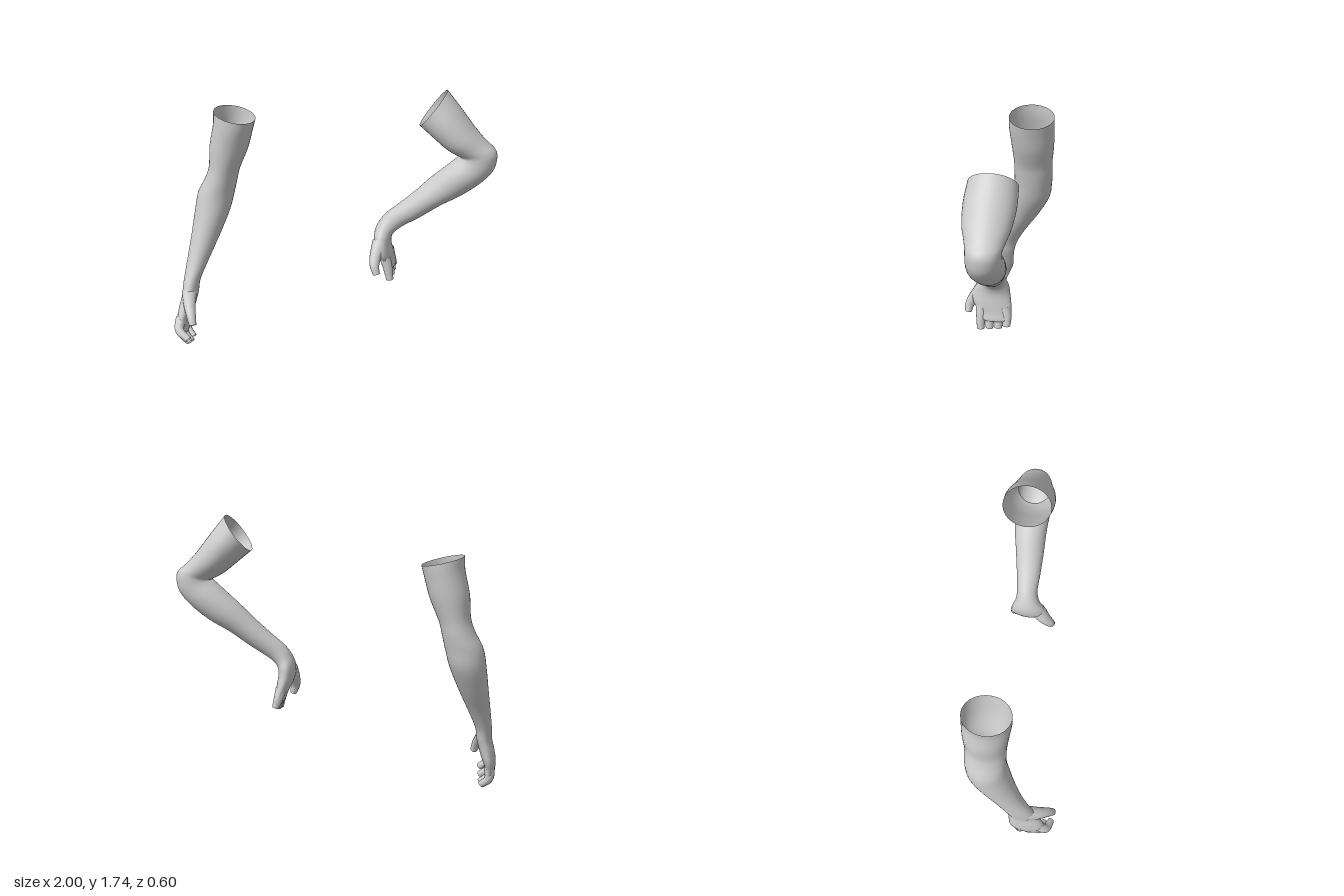
import * as THREE from 'three';

const skin = new THREE.MeshStandardMaterial({ color: 0xcccccc, side: THREE.DoubleSide });
const V = (x, y, z = 0) => new THREE.Vector3(x, y, z);

// Smooth limb through cross-sections [innerX, innerY, outerX, outerY, centreZ, halfDepth]
function limb(name, sections, rings = 90, sides = 36) {
  const curve = (f) => new THREE.CatmullRomCurve3(sections.map(f), false, 'catmullrom', 0.5);
  const inner = curve((s) => V(s[0], s[1]));
  const outer = curve((s) => V(s[2], s[3]));
  const depth = curve((s) => V(s[4], s[5]));
  const pos = [], index = [];
  for (let r = 0; r <= rings; r++) {
    const a = inner.getPoint(r / rings), b = outer.getPoint(r / rings), d = depth.getPoint(r / rings);
    for (let k = 0; k < sides; k++) {
      const t = (k / sides) * Math.PI * 2, c = 0.5 + 0.5 * Math.cos(t);
      pos.push(a.x + (b.x - a.x) * c, a.y + (b.y - a.y) * c, d.x + d.y * Math.sin(t));
      if (r === rings) continue;
      const n = (k + 1) % sides, p = r * sides;
      index.push(p + k, p + n, p + sides + k, p + n, p + sides + n, p + sides + k);
    }
  }
  const g = new THREE.BufferGeometry();
  g.setAttribute('position', new THREE.Float32BufferAttribute(pos, 3));
  g.setIndex(index);
  g.computeVertexNormals();
  const mesh = new THREE.Mesh(g, skin);
  mesh.name = name;
  return mesh;
}

// Tapered, open-ended digit along a short curve
function digit(name, points, r0, r1) {
  const path = new THREE.CatmullRomCurve3(points.map((p) => V(...p)));
  const seg = 14, sides = 14;
  const g = new THREE.TubeGeometry(path, seg, 1, sides);
  const pos = g.attributes.position, v = V(0, 0);
  for (let i = 0; i < pos.count; i++) {
    const t = Math.floor(i / (sides + 1)) / seg, c = path.getPointAt(t);
    v.fromBufferAttribute(pos, i).sub(c).multiplyScalar(r0 + (r1 - r0) * t).add(c);
    pos.setXYZ(i, v.x, v.y, v.z);
  }
  const mesh = new THREE.Mesh(g, skin);
  mesh.name = name;
  return mesh;
}

export function createModel() {
  const model = new THREE.Group();
  const names = ['IndexFinger', 'MiddleFinger', 'RingFinger', 'LittleFinger'];

  // Bent left arm: upper arm, elbow, forearm, wrist, palm
  const left = new THREE.Group();
  left.name = 'leftArm';
  left.add(limb('leftArmAndPalm', [
    [0.52, 1.54, 0.68, 1.755, -0.10, 0.145],
    [0.60, 1.475, 0.77, 1.645, -0.095, 0.152],
    [0.68, 1.41, 0.86, 1.53, -0.09, 0.14],
    [0.735, 1.375, 0.93, 1.455, -0.09, 0.118],
    [0.765, 1.362, 0.985, 1.405, -0.09, 0.105],
    [0.772, 1.355, 0.997, 1.35, -0.09, 0.103],
    [0.755, 1.34, 0.975, 1.27, -0.09, 0.105],
    [0.70, 1.29, 0.90, 1.185, -0.09, 0.11],
    [0.60, 1.20, 0.79, 1.10, -0.09, 0.10],
    [0.50, 1.10, 0.67, 1.03, -0.08, 0.088],
    [0.40, 1.01, 0.55, 0.945, -0.072, 0.075],
    [0.33, 0.95, 0.44, 0.875, -0.068, 0.065],
    [0.285, 0.89, 0.385, 0.83, -0.06, 0.075],
    [0.262, 0.83, 0.367, 0.79, -0.052, 0.10],
    [0.262, 0.76, 0.367, 0.75, -0.045, 0.115],
    [0.28, 0.70, 0.375, 0.70, -0.05, 0.118],
    [0.305, 0.65, 0.383, 0.645, -0.067, 0.104],
    [0.325, 0.60, 0.392, 0.60, -0.07, 0.095],
    [0.355, 0.585, 0.365, 0.585, -0.07, 0.02],
  ]));
  const leftTips = [[0.015, 0.53], [-0.04, 0.538], [-0.095, 0.545], [-0.145, 0.56]];
  leftTips.forEach(([z, y], i) => left.add(digit('left' + names[i],
    [[0.338, 0.68, z * 0.9], [0.357, 0.61, z], [0.372, y, z]], 0.036, 0.023)));
  left.add(digit('leftThumb',
    [[0.305, 0.78, 0.01], [0.285, 0.70, 0.065], [0.285, 0.65, 0.095], [0.30, 0.60, 0.105]], 0.05, 0.022));

  // Hanging right arm
  const right = new THREE.Group();
  right.name = 'rightArm';
  right.add(limb('rightArmAndPalm', [
    [-0.785, 1.535, -0.525, 1.475, -0.15, 0.148],
    [-0.79, 1.45, -0.545, 1.40, -0.15, 0.148],
    [-0.82, 1.30, -0.578, 1.28, -0.155, 0.14],
    [-0.83, 1.16, -0.635, 1.14, -0.155, 0.128],
    [-0.86, 1.07, -0.655, 1.06, -0.155, 0.128],
    [-0.91, 0.97, -0.675, 0.97, -0.15, 0.128],
    [-0.93, 0.85, -0.705, 0.85, -0.13, 0.13],
    [-0.945, 0.70, -0.76, 0.70, -0.075, 0.11],
    [-0.96, 0.55, -0.82, 0.55, -0.005, 0.088],
    [-0.972, 0.42, -0.865, 0.43, 0.055, 0.085],
    [-0.975, 0.34, -0.875, 0.35, 0.085, 0.092],
    [-0.99, 0.27, -0.89, 0.28, 0.105, 0.105],
    [-1.0, 0.20, -0.91, 0.21, 0.12, 0.115],
    [-0.998, 0.14, -0.93, 0.15, 0.135, 0.108],
    [-0.983, 0.09, -0.935, 0.10, 0.15, 0.095],
    [-0.96, 0.075, -0.95, 0.08, 0.155, 0.02],
  ]));
  const rightTips = [[-0.895, 0.10, 0.272], [-0.9, 0.058, 0.23], [-0.905, 0.03, 0.17], [-0.912, 0.03, 0.105]];
  rightTips.forEach(([x, y, z], i) => right.add(digit('right' + names[i],
    [[-0.962, 0.21 - i * 0.015, 0.19 - i * 0.04], [-0.96, y + 0.05, z - 0.025], [x, y, z]], 0.036, 0.022)));
  right.add(digit('rightThumb',
    [[-0.925, 0.36, 0.11], [-0.90, 0.31, 0.195], [-0.875, 0.26, 0.25], [-0.858, 0.21, 0.278]], 0.05, 0.023));

  model.add(left, right);
  return model;
}
